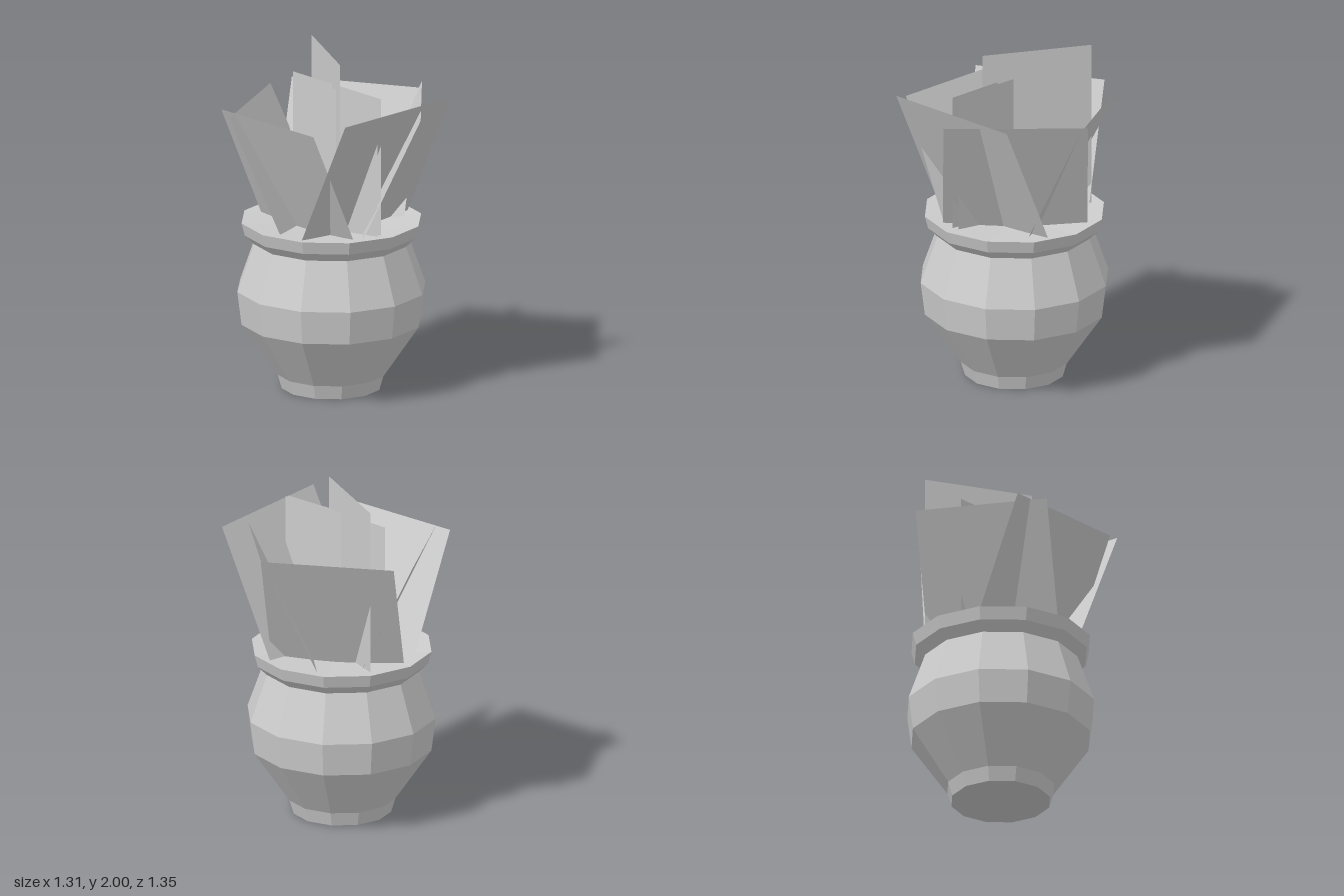
import * as THREE from 'three';

export function createModel() {
  const group = new THREE.Group();
  const grey = new THREE.MeshStandardMaterial({
    name: 'pale grey', color: 0xcccccc, flatShading: true, side: THREE.DoubleSide,
  });

  function add(name, geometry) {
    const mesh = new THREE.Mesh(geometry, grey);
    mesh.name = name;
    group.add(mesh);
    return mesh;
  }

  // Twelve-sided pot: base, belly, neck, flared rim and shallow soil surface
  const profile = [
    [0, 0], [0.295, 0], [0.32, 0.085], [0.535, 0.4], [0.56, 0.6], [0.46, 0.885],
    [0.515, 0.94], [0.535, 1.015], [0.12, 0.975], [0, 0.975],
  ].map(([r, y]) => new THREE.Vector2(r, y));
  add('pot', new THREE.LatheGeometry(profile, 12)).position.set(-0.017, 0, -0.023);

  // Flat rectangular leaf: top edge a-b at height top, leaning in towards its foot
  const foot = 0.95;
  function leaf(name, [ax, az], [bx, bz], top, lean) {
    const length = Math.hypot(bx - ax, bz - az);
    const inset = lean * (top - foot) / length;
    let dx = -(bz - az) * inset, dz = (bx - ax) * inset;
    // Lean towards the middle of the pot
    if (dx * (ax + bx) + dz * (az + bz) > 0) { dx = -dx; dz = -dz; }
    const geometry = new THREE.BufferGeometry();
    geometry.setAttribute('position', new THREE.Float32BufferAttribute([
      ax + dx, foot, az + dz, bx + dx, foot, bz + dz, bx, top, bz, ax, top, az,
    ], 3));
    geometry.setIndex([0, 1, 2, 0, 2, 3]);
    geometry.computeVertexNormals();
    add(name, geometry);
  }

  // Five outer leaves splayed around the pot
  leaf('backLeaf', [-0.12, -0.675], [0.57, -0.29], 1.70, 0.46);
  leaf('backRightLeaf', [-0.26, -0.615], [-0.645, 0.07], 1.685, 0.46);
  leaf('frontRightLeaf', [-0.655, -0.11], [-0.245, 0.575], 1.69, 0.46);
  leaf('frontLeaf', [-0.075, 0.67], [0.655, 0.17], 1.765, 0.466);
  leaf('leftLeaf', [0.585, -0.33], [0.41, 0.495], 1.73, 0.463);

  // Upright leaves in the centre
  leaf('tallCentreLeaf', [-0.005, 0.17], [-0.04, -0.49], 2.0, 0);
  leaf('centreLeafOne', [0.2, 0.36], [-0.185, -0.316], 1.835, 0);
  leaf('centreLeafTwo', [0.175, 0.39], [-0.11, -0.09], 1.825, 0);

  return group;
}
